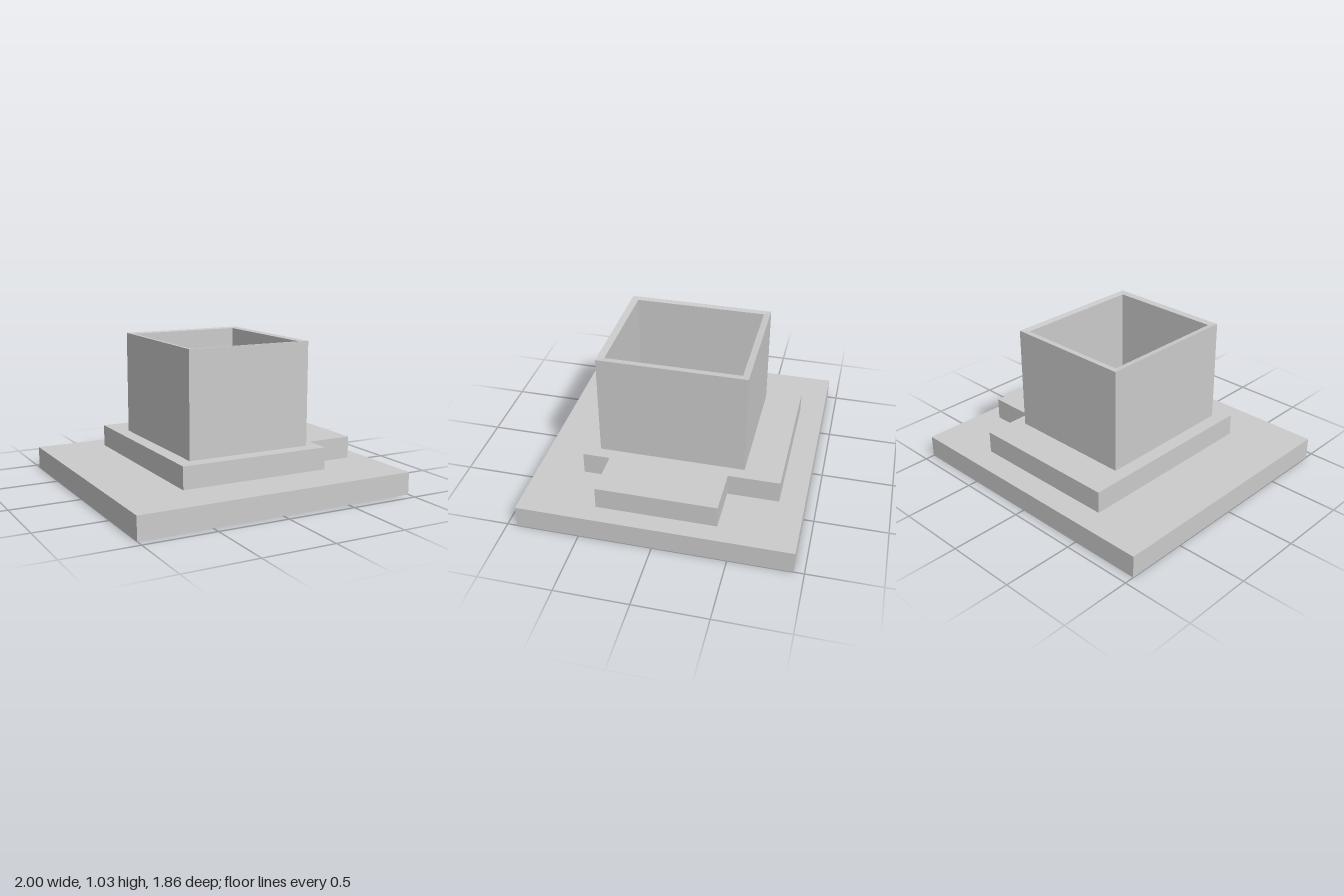
import * as THREE from 'three';

const material = new THREE.MeshStandardMaterial({ color: 0xcccccc, flatShading: true });

// Outline points are [x, z]; the slab rises from y0 to y1.
function slab(name, outline, y0, y1, hole) {
  const toPoints = (list) => list.map(([x, z]) => new THREE.Vector2(x, -z));
  const shape = new THREE.Shape(toPoints(outline));
  if (hole) shape.holes.push(new THREE.Path(toPoints(hole)));
  const geometry = new THREE.ExtrudeGeometry(shape, { depth: y1 - y0, bevelEnabled: false });
  geometry.rotateX(-Math.PI / 2).translate(0, y0, 0);
  const mesh = new THREE.Mesh(geometry, material);
  mesh.name = name;
  return mesh;
}

const rect = (x0, x1, z0, z1) => [[x0, z1], [x1, z1], [x1, z0], [x0, z0]];

export function createModel() {
  const group = new THREE.Group();
  group.name = 'steppedPedestal';
  const baseTop = 0.157, stepTop = 0.312, wallTop = 1.035;

  // Wide ground slab
  group.add(slab('base', rect(-1, 1, -0.932, 0.932), 0, baseTop));

  // Middle step with a landing tab on the +x side
  group.add(slab('stepWithLanding', [
    [-0.54, 0.603], [0.535, 0.603], [0.535, 0.415], [0.867, 0.415],
    [0.867, -0.407], [0.535, -0.407], [0.535, -0.76], [-0.54, -0.76],
  ], baseTop, stepTop));

  // Open-topped square walls
  const walls = slab('walls', rect(-0.445, 0.449, -0.505, 0.503), stepTop, wallTop,
    rect(-0.404, 0.402, -0.46, 0.455));

  // The rim dips very slightly toward the opening
  const p = walls.geometry.attributes.position;
  for (let i = 0; i < p.count; i++) {
    const inner = Math.abs(p.getX(i)) < 0.42 && Math.abs(p.getZ(i)) < 0.48;
    if (inner && p.getY(i) > 1) p.setY(i, wallTop - 0.005);
  }
  walls.geometry.computeVertexNormals();
  group.add(walls);

  return group;
}
